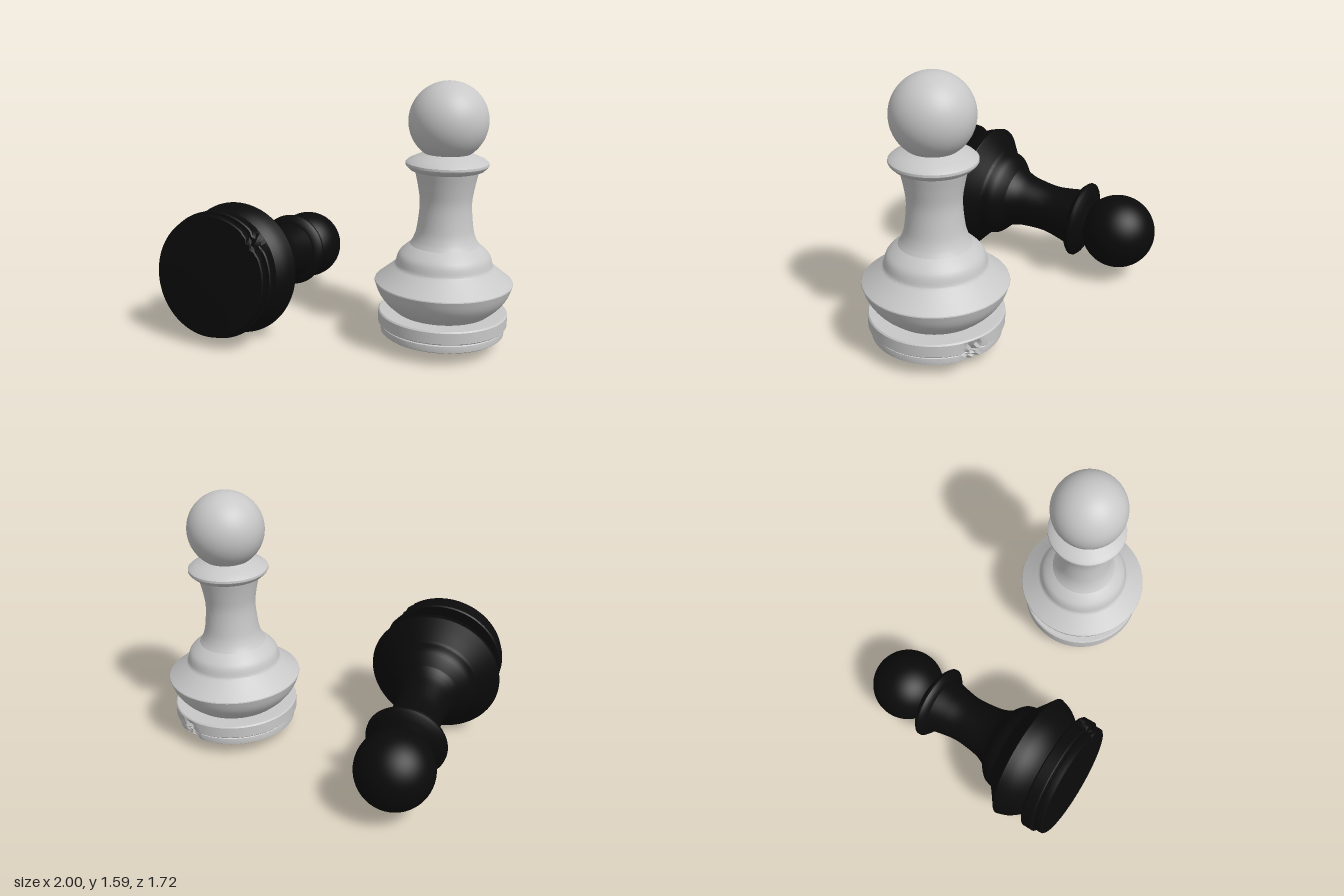
import * as THREE from 'three';
import { toCreasedNormals } from 'three/addons/utils/BufferGeometryUtils.js';

const SEGMENTS = 96;
const vectors = (pts) => pts.map(([r, y]) => new THREE.Vector2(r, y));
const smooth = (pts, n) => new THREE.SplineCurve(vectors(pts)).getPoints(n);

// Chipped notch in the rim of the base, facing -z
function chipRim(geometry) {
  const p = geometry.attributes.position;
  for (let i = 0; i < p.count; i++) {
    const x = p.getX(i), y = p.getY(i), z = p.getZ(i);
    const r = Math.hypot(x, z);
    const a = Math.atan2(x, -z);
    const reach = 0.26 - 1.1 * Math.max(0, y - 0.1);
    if (r < 0.3 || y > 0.2 || Math.abs(a) > reach) continue;
    const jag = 0.65 + 0.35 * Math.sin(a * 41 + y * 60);
    const k = 1 - 0.1 * (1 - Math.abs(a) / reach) * jag;
    p.setXYZ(i, x * k, y, z * k);
  }
  return geometry;
}

function createPawn(name, material) {
  const pawn = new THREE.Group();
  pawn.name = name;
  const turn = (part, points, edit = (g) => g) => {
    const lathe = edit(new THREE.LatheGeometry(points, SEGMENTS));
    const mesh = new THREE.Mesh(toCreasedNormals(lathe, 0.55), material);
    mesh.name = part;
    pawn.add(mesh);
  };

  // Two stacked discs with a groove between them
  turn('base', vectors([
    [0, 0.072], [0.2, 0.077], [0.36, 0.08], [0.368, 0.086], [0.37, 0.105], [0.368, 0.124],
    [0.36, 0.13], [0.36, 0.135], [0.378, 0.137], [0.385, 0.144], [0.385, 0.175],
    [0.385, 0.21], [0.378, 0.218], [0.28, 0.22], [0, 0.22],
  ]), chipRim);

  // Wide bowl with a sharp rim and stepped shoulder
  turn('bowl', [
    ...smooth([[0.28, 0.215], [0.34, 0.268], [0.385, 0.33], [0.41, 0.398]], 10),
    ...smooth([[0.408, 0.404], [0.35, 0.45], [0.29, 0.5]], 8),
    ...smooth([[0.287, 0.506], [0.272, 0.56], [0.24, 0.597], [0.203, 0.628]], 9),
  ]);

  // Waisted neck
  turn('neck', smooth([
    [0.205, 0.625], [0.183, 0.665], [0.165, 0.73], [0.152, 0.87], [0.165, 0.975], [0.187, 1.075],
  ], 24));

  // Collar under the head
  turn('collar', vectors([
    [0.15, 1.068], [0.187, 1.068], [0.215, 1.076], [0.236, 1.096], [0.241, 1.105],
    [0.24, 1.118], [0.225, 1.132], [0.187, 1.15], [0.155, 1.164], [0.132, 1.174],
  ]));

  // Round head
  const head = new THREE.Mesh(new THREE.SphereGeometry(0.23, 64, 40), material);
  head.name = 'head';
  head.position.y = 1.357;
  pawn.add(head);
  return pawn;
}

export function createModel() {
  const model = new THREE.Group();
  model.name = 'pawns';
  const white = new THREE.MeshStandardMaterial({ color: 0xc8c8c8 });
  white.name = 'light grey';
  const black = new THREE.MeshStandardMaterial({ color: 0x0a0a0a });
  black.name = 'black';

  // Standing pawn
  const standing = createPawn('standingPawn', white);
  standing.position.set(0.588, 0, -0.452);

  // Fallen pawn, its base turned to the front and its chip up to the left
  const fallen = createPawn('fallenPawn', black);
  const up = new THREE.Vector3(-0.56, -0.13, -1.135).normalize();
  const back = new THREE.Vector3(-0.26, -0.25, 0.157);
  back.addScaledVector(up, -back.dot(up)).normalize();
  const side = new THREE.Vector3().crossVectors(up, back);
  fallen.quaternion.setFromRotationMatrix(new THREE.Matrix4().makeBasis(side, up, back));
  fallen.position.set(-0.77, 0.306, -0.445).addScaledVector(up, -1.357);

  model.add(standing, fallen);
  return model;
}
